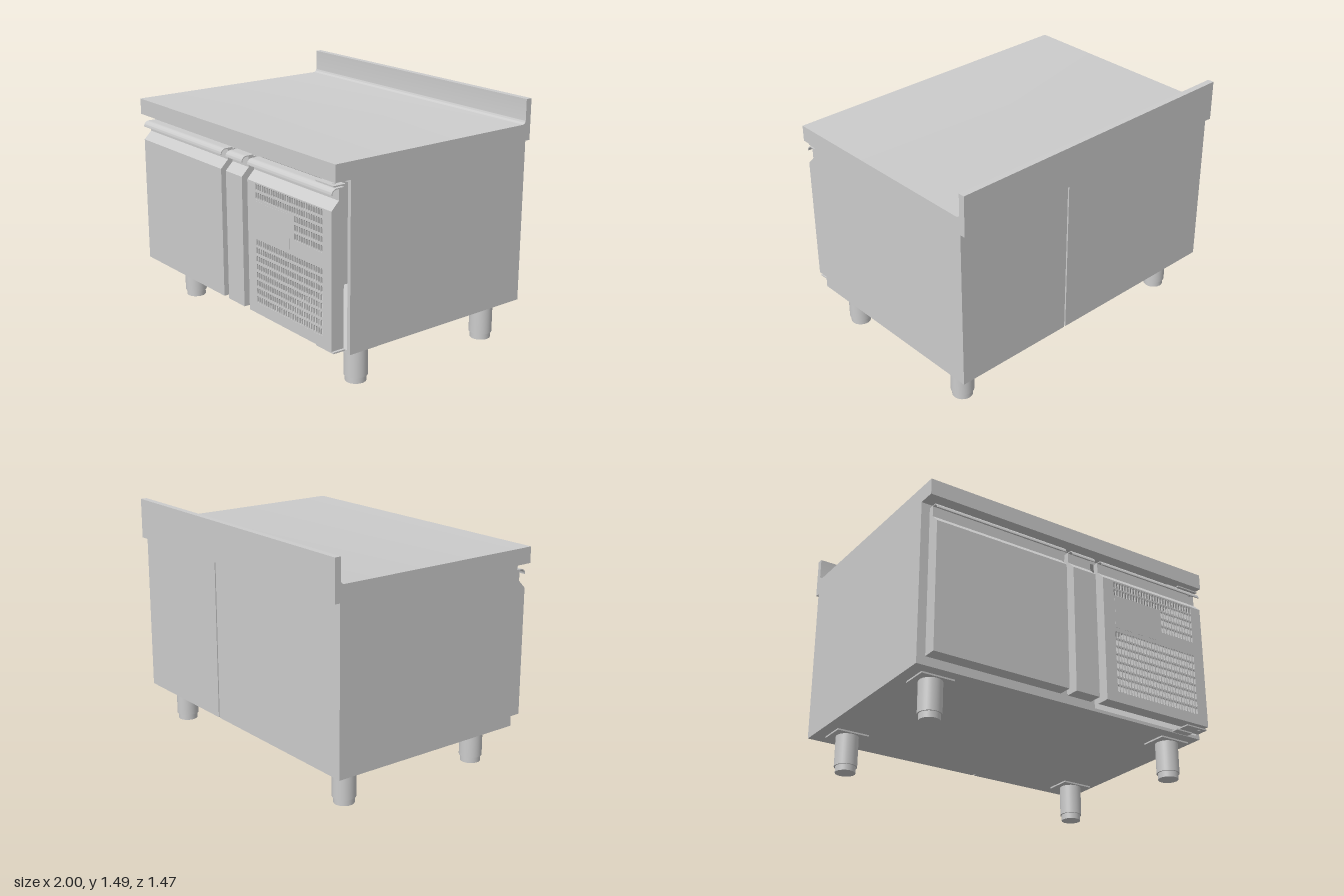
import * as THREE from 'three';
import { toCreasedNormals } from 'three/addons/utils/BufferGeometryUtils.js';

export function createModel() {
  const root = new THREE.Group();
  root.name = 'refrigeratedCounter';
  const mat = new THREE.MeshStandardMaterial({ color: 0xcccccc });

  const add = (name, geo, parent = root) => {
    const mesh = new THREE.Mesh(geo, mat);
    mesh.name = name;
    parent.add(mesh);
    return mesh;
  };
  const group = (name) => {
    const g = new THREE.Group();
    g.name = name;
    root.add(g);
    return g;
  };
  // Box given by its extents on each axis
  const box = (name, x0, x1, y0, y1, z0, z1, parent) => {
    const geo = new THREE.BoxGeometry(x1 - x0, y1 - y0, z1 - z0);
    geo.translate((x0 + x1) / 2, (y0 + y1) / 2, (z0 + z1) / 2);
    return add(name, geo, parent);
  };
  // Profile drawn in (z, y), swept along x from x0 to x1
  const sweep = (name, shape, x0, x1, parent) => {
    const geo = new THREE.ExtrudeGeometry(shape, { depth: x1 - x0, bevelEnabled: false, curveSegments: 10 });
    geo.rotateY(-Math.PI / 2);
    geo.translate(x1, 0, 0);
    return add(name, toCreasedNormals(geo, 0.6), parent);
  };
  const polygon = (pts) => new THREE.Shape(pts.map(([a, b]) => new THREE.Vector2(a, b)));

  // Worktop with coved upstand at the back
  const top = new THREE.Shape();
  top.moveTo(-0.73, 1.24);
  top.lineTo(0.73, 1.24);
  top.lineTo(0.73, 1.34);
  top.lineTo(-0.665, 1.34);
  top.absarc(-0.665, 1.365, 0.025, -Math.PI / 2, -Math.PI, true);
  top.lineTo(-0.69, 1.49);
  top.lineTo(-0.73, 1.49);
  top.closePath();
  sweep('worktop', top, -1, 1);

  // Insulated cabinet and hollow machine compartment beside it
  box('coldCabinet', -1, 0.193, 0.24, 1.24, -0.695, 0.625);
  const bay = group('machineCompartment');
  box('sidePanel', 0.975, 1, 0.24, 1.24, -0.67, 0.625, bay);
  box('backPanel', 0.203, 1, 0.24, 1.24, -0.695, -0.67, bay);
  box('floorPanel', 0.193, 0.975, 0.24, 0.26, -0.67, 0.625, bay);
  box('ceilingPanel', 0.193, 0.975, 1.22, 1.24, -0.67, 0.625, bay);

  // Door fronts: sloped head and curled finger grip
  const Z0 = 0.65, Z1 = 0.735, Y0 = 0.28, SLOPE = 1.08, Y1 = 1.2;
  const headPts = [[Z1, SLOPE], [0.685, 1.13], [0.685, Y1 - 0.004], [Z0, Y1 - 0.004]];
  const grip = new THREE.Shape();
  grip.moveTo(Z0, Y1);
  grip.lineTo(Z0, Y1 - 0.006);
  grip.lineTo(0.7, Y1 - 0.006);
  grip.absarc(0.7, 1.165, 0.029, Math.PI / 2, 0, true);
  grip.lineTo(Z1, 1.165);
  grip.absarc(0.7, 1.165, 0.035, 0, Math.PI / 2, false);
  grip.closePath();

  for (const [name, x0, x1] of [['door', -0.96, -0.07], ['narrowFront', -0.02, 0.145]]) {
    const g = group(name);
    sweep('panel', polygon([[Z0, Y0], [Z1, Y0], ...headPts]), x0, x1, g);
    sweep('grip', grip, x0, x1, g);
    box('gasket', x0 + 0.015, x1 - 0.015, 0.3, 1.185, 0.625, Z0, g);
  }

  // Ventilated front: a hollow tray with rows of slots
  const vent = group('ventilatedFront');
  const X0 = 0.2, X1 = 0.975, T = 0.01;
  sweep('head', polygon([[Z0, SLOPE], ...headPts]), X0, X1, vent);
  sweep('grip', grip, X0, X1, vent);
  box('leftReturn', X0, X0 + T, Y0, SLOPE, Z0, Z1 - T, vent);
  box('rightReturn', X1 - T, X1, Y0, SLOPE, Z0, Z1 - T, vent);
  box('bottomReturn', X0 + T, X1 - T, Y0, Y0 + T, Z0, Z1 - T, vent);

  const face = polygon([[X0, Y0], [X1, Y0], [X1, SLOPE], [X0, SLOPE]]);
  const COLS = 29, PITCH = 0.0215, ROW = 0.05;
  const slots = (yTop, rows, firstCol) => {
    for (let r = 0; r < rows; r++) {
      for (let c = firstCol; c < COLS; c++) {
        const x = 0.288 + c * PITCH, y = yTop - 0.022 - r * ROW;
        const hole = [[-0.004, -0.021], [0.004, -0.021], [0.008, -0.014], [0.008, 0.014],
          [0.004, 0.021], [-0.004, 0.021], [-0.008, 0.014], [-0.008, -0.014]];
        face.holes.push(new THREE.Path(hole.map(([a, b]) => new THREE.Vector2(x + a, y + b)).reverse()));
      }
    }
  };
  slots(1.073, 2, 0);
  slots(0.973, 3, 17);
  slots(0.74, 8, 0);
  const faceGeo = new THREE.ExtrudeGeometry(face, { depth: T, bevelEnabled: false });
  faceGeo.translate(0, 0, Z1 - T);
  add('slottedFace', faceGeo, vent);
  box('controlPlate', 0.285, 0.6, 0.765, 0.967, Z1 - T, Z1 + 0.001, vent);

  // Pivot hinges above and below the ventilated front
  const hinge = (name, y, dir) => {
    const g = group(name);
    box('arm', 0.82, 0.975, y - 0.004, y + 0.004, 0.64, 0.72, g);
    box('bracket', 0.78, 0.9, y + dir * 0.02 - 0.004, y + dir * 0.02 + 0.004, 0.625, 0.67, g);
    box('mount', 0.84, 0.88, y - 0.02, y + 0.02, 0.62, 0.64, g);
    const pin = new THREE.CylinderGeometry(0.01, 0.01, 0.03, 16);
    pin.translate(0.94, y - dir * 0.008, 0.69);
    add('pin', pin, g);
  };
  hinge('upperHinge', 1.212, 1);
  hinge('lowerHinge', 0.267, -1);

  // Four adjustable legs with mounting plates
  for (const x of [-0.82, 0.865]) {
    for (const z of [0.472, -0.52]) {
      const leg = group('leg');
      leg.position.set(x, 0, z);
      box('mountingPlate', -0.105, 0.105, 0.23, 0.242, -0.083, 0.083, leg);
      const tube = new THREE.CylinderGeometry(0.07, 0.07, 0.192, 32);
      tube.translate(0, 0.134, 0);
      add('legTube', tube, leg);
      const foot = new THREE.CylinderGeometry(0.062, 0.062, 0.04, 32);
      foot.translate(0, 0.02, 0);
      add('foot', foot, leg);
    }
  }
  return root;
}
